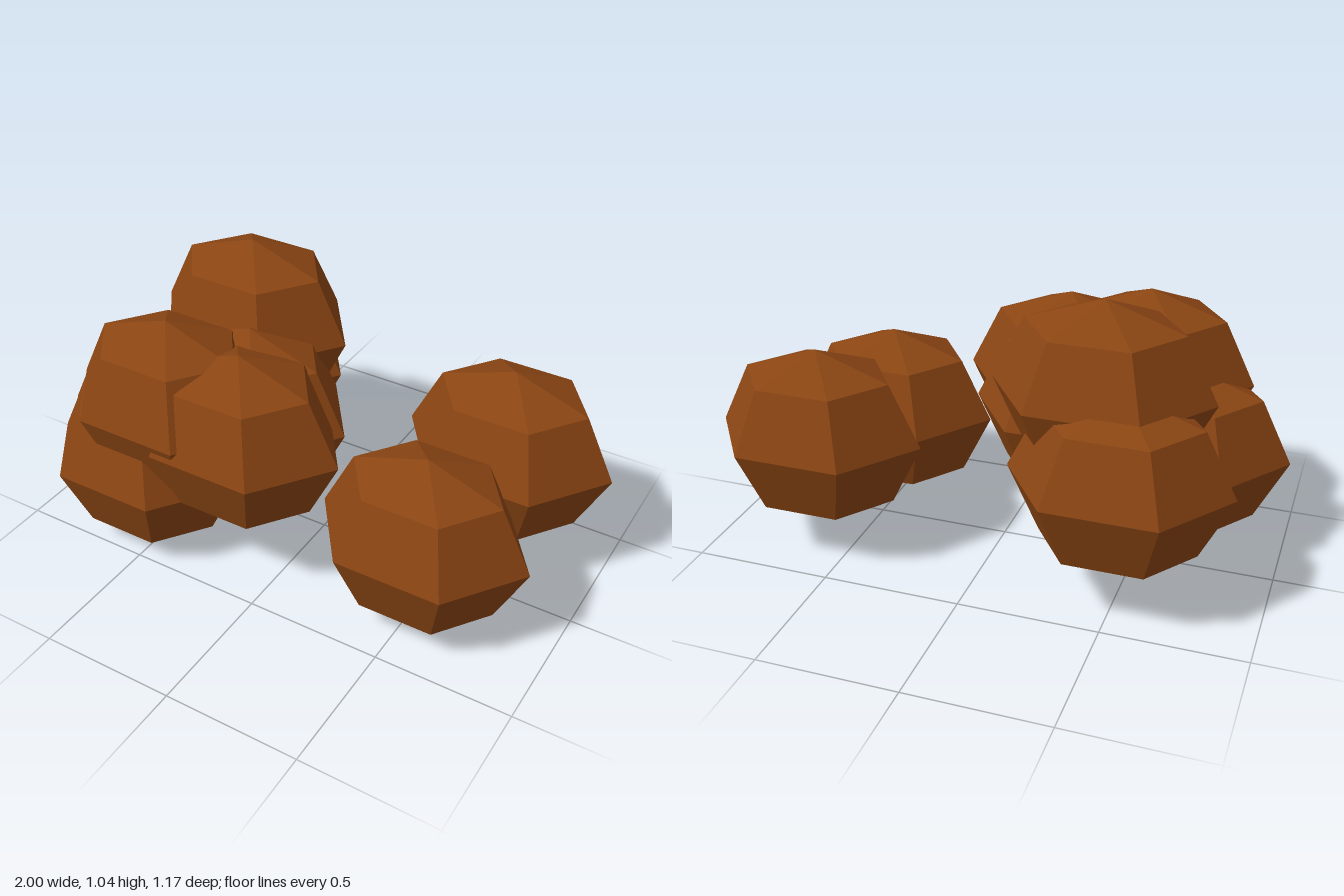
import * as THREE from 'three';

export function createModel() {
  const model = new THREE.Group();
  model.name = 'boulderCluster';

  const brown = new THREE.MeshStandardMaterial({ color: 0x8b4513, flatShading: true });
  brown.name = 'earthBrown';

  // One faceted lump, stretched slightly along x
  const lump = new THREE.SphereGeometry(1, 6, 4);
  lump.scale(0.387, 0.323, 0.311);

  // Centre of each lump
  const lumps = {
    frontLeftLump: [0.523, 0.347, 0.225],
    backLeftLump: [0.61, 0.442, -0.255],
    frontBaseLump: [-0.567, 0.326, 0.316],
    frontUpperLump: [-0.45, 0.602, 0.297],
    frontInnerLump: [-0.157, 0.557, 0.294],
    topLump: [-0.397, 0.72, -0.163],
    backBaseLump: [-0.503, 0.472, -0.315],
    outerRightLump: [-0.613, 0.367, 0.195],
    coreLump: [-0.255, 0.522, 0.083],
  };

  for (const [name, centre] of Object.entries(lumps)) {
    const mesh = new THREE.Mesh(lump, brown);
    mesh.name = name;
    mesh.position.set(...centre);
    model.add(mesh);
  }
  return model;
}
